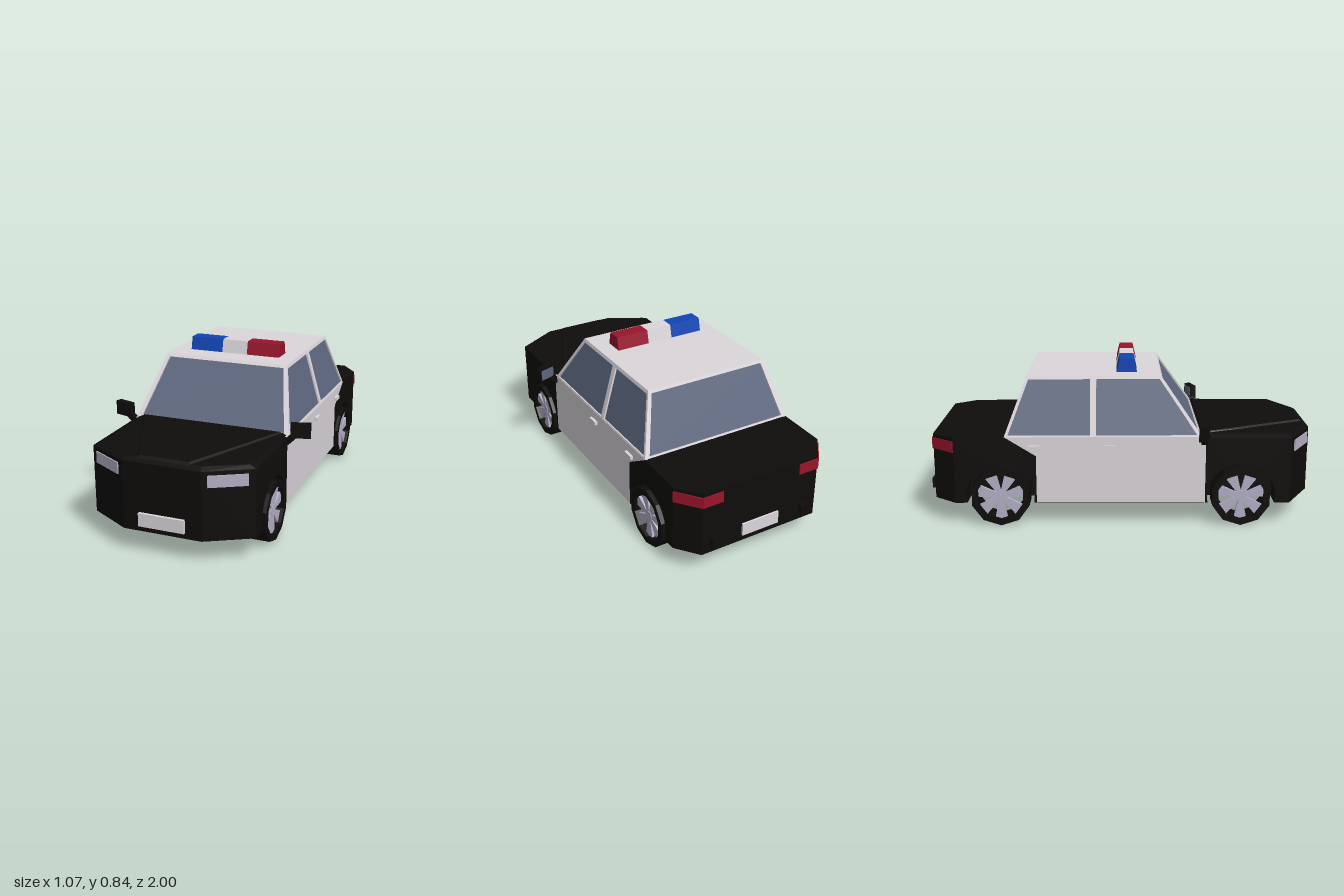
import * as THREE from 'three';
import { ConvexGeometry } from 'three/addons/geometries/ConvexGeometry.js';

const mat = (color) => new THREE.MeshStandardMaterial({ color, flatShading: true });
const V = (x, y, z) => new THREE.Vector3(x, y, z);

export function createModel() {
  const car = new THREE.Group();
  car.name = 'patrolCar';
  const black = mat(0x0f0d0b), white = mat(0xdbd6db), glass = mat(0x5c667d), red = mat(0x99142b),
    blue = mat(0x0f45b5), lamp = mat(0xb3afc4), rim = mat(0xb5b0c8);

  const add = (name, geometry, material, parent = car) => {
    const mesh = new THREE.Mesh(geometry, material);
    mesh.name = name;
    parent.add(mesh);
    return mesh;
  };
  const box = (name, size, pos, material, parent = car, turn = 0) => {
    const mesh = add(name, new THREE.BoxGeometry(...size), material, parent);
    mesh.position.set(...pos);
    mesh.rotation.y = turn;
    return mesh;
  };
  const shapeOf = (pts) => new THREE.Shape(pts.map((p) => new THREE.Vector2(...p)));
  // Extrude a (z, y) side profile across x, centred
  const across = (shape, width) => new THREE.ExtrudeGeometry(shape, { depth: width, bevelEnabled: false, curveSegments: 8 })
    .rotateY(-Math.PI / 2).translate(width / 2, 0, 0);
  // Convex solid from half-outlines [x, z] at given heights, mirrored in x
  const solid = (...layers) => new ConvexGeometry(layers.flatMap(([y, pts]) =>
    pts.flatMap(([x, z]) => [V(x, y, z), V(-x, y, z)])));

  // Lower body: fenders with wheel arches, doors, and tapered ends
  const W = 0.84, axleY = 0.155, wheelZ = [0.61, -0.625];
  const arch = (shape, z) => {
    const r = 0.175, a = Math.asin((0.12 - axleY) / r);
    shape.lineTo(z - r * Math.cos(a), 0.12);
    shape.absarc(z, axleY, r, Math.PI - a, a, true);
  };
  const fender = (name, pts, z) => {
    const s = new THREE.Shape();
    s.moveTo(...pts[0]);
    arch(s, z);
    pts.slice(1).forEach((p) => s.lineTo(...p));
    add(name, across(s, W), black);
  };
  fender('frontFender', [[0.425, 0.12], [0.86, 0.12], [0.86, 0.465], [0.425, 0.465]], wheelZ[0]);
  fender('rearFender', [[-0.86, 0.12], [-0.44, 0.12], [-0.44, 0.37], [-0.6, 0.468], [-0.86, 0.465]], wheelZ[1]);
  add('doorSection', across(shapeOf([[-0.44, 0.12], [0.425, 0.12], [0.425, 0.47], [-0.6, 0.47], [-0.44, 0.37]]), W), white);
  const nose = [[0.42, 0.86], [0.2, 0.985]], tail = [[0.42, -0.86], [0.33, -0.975]];
  add('frontEnd', solid([0.12, nose], [0.465, nose]), black);
  add('rearEnd', solid([0.12, tail], [0.465, tail]), black);
  box('innerCore', [0.6, 0.32, 1.72], [0, 0.278, 0], black);
  box('floor', [0.83, 0.012, 0.86], [0, 0.122, -0.008], black);

  // Hood with bevelled rim and raised tapering centre
  add('hood', solid([0.465, [[0.42, 0.405], ...nose]], [0.479, [[0.385, 0.4], [0.385, 0.85], [0.19, 0.955]]]), black);
  add('hoodCentre', solid([0.47, [[0.39, 0.4], [0.14, 0.97]]], [0.487, [[0.375, 0.41], [0.125, 0.945]]]), black);
  box('grille', [0.37, 0.1, 0.008], [0, 0.385, 0.985], black);

  // Cabin wall: a trapezoid with window holes in (u, v), thickened inward, and glass set back
  const wall = (name, [bl, br, tr, tl], panes) => {
    const normal = br.clone().sub(bl).cross(tl.clone().sub(bl)).normalize();
    const place = (g, offset) => {
      const p = g.attributes.position;
      for (let i = 0; i < p.count; i++) {
        const u = p.getX(i), v = p.getY(i);
        const q = bl.clone().lerp(br, u).lerp(tl.clone().lerp(tr, u), v).addScaledVector(normal, p.getZ(i) + offset);
        p.setXYZ(i, q.x, q.y, q.z);
      }
      g.computeVertexNormals();
      return g;
    };
    const frame = shapeOf([[0, 0], [1, 0], [1, 1], [0, 1]]);
    panes.forEach((pane) => frame.holes.push(shapeOf(pane)));
    add(name + 'Frame', place(new THREE.ExtrudeGeometry(frame, { depth: 0.015, bevelEnabled: false }), -0.015), white);
    panes.forEach((pane) => add(name + 'Glass', place(new THREE.ShapeGeometry(shapeOf(pane)), -0.009), glass));
  };
  const c = (sx, z, top) => V(sx * (top ? 0.335 : 0.42), top ? 0.77 : 0.47, z);
  const F = 0.405, B = -0.6, FT = 0.195, BT = -0.485;
  const screen = [[[0.03, 0.03], [0.97, 0.03], [0.97, 0.95], [0.03, 0.95]]];
  const sidePanes = [
    [[0.02, 0.03], [0.535, 0.03], [0.485, 0.94], [0.02, 0.94]],
    [[0.565, 0.03], [0.985, 0.03], [0.98, 0.94], [0.529, 0.94]],
  ];
  wall('windshield', [c(-1, F), c(1, F), c(1, FT, 1), c(-1, FT, 1)], screen);
  wall('rearWindow', [c(1, B), c(-1, B), c(-1, BT, 1), c(1, BT, 1)], screen);
  wall('leftWindows', [c(1, F), c(1, B), c(1, BT, 1), c(1, FT, 1)], sidePanes);
  wall('rightWindows', [c(-1, B), c(-1, F), c(-1, FT, 1), c(-1, BT, 1)],
    sidePanes.map((pane) => pane.map(([u, v]) => [1 - u, v])));
  add('roof', solid([0.758, [[0.325, 0.19], [0.325, -0.48]]], [0.77, [[0.335, FT], [0.335, BT]]]), white);

  // Roof light bar in three segments
  const bar = [[-0.03, 0.765], [0.077, 0.765], [0.06, 0.838], [-0.013, 0.838]];
  [['blueLight', -0.16, 0.18, blue], ['middleLight', 0, 0.14, white], ['redLight', 0.16, 0.18, red]]
    .forEach(([name, x, w, m]) => add(name, across(shapeOf(bar), w).translate(x, 0, 0), m));

  // Number plates
  box('frontPlate', [0.234, 0.067, 0.018], [0, 0.183, 0.991], white);
  box('rearPlate', [0.21, 0.067, 0.014], [0, 0.186, -0.978], white);

  // Wheel: ten-sided open tyre, seven flared spokes, hub
  const tyreProfile = [[0.122, -0.06], [0.155, -0.06], [0.155, 0.06], [0.122, 0.06], [0.122, -0.06]]
    .map((p) => new THREE.Vector2(...p));
  const tyre = new THREE.LatheGeometry(tyreProfile, 10).rotateY(Math.PI / 2).rotateZ(Math.PI / 2);
  const spoke = across(shapeOf([[-0.01, 0.015], [0.01, 0.015], [0.032, 0.12], [-0.032, 0.12]]), 0.015);
  const hub = new THREE.CylinderGeometry(0.028, 0.028, 0.02, 10).rotateZ(Math.PI / 2);
  const axle = new THREE.CylinderGeometry(0.018, 0.018, 0.12, 8).rotateZ(Math.PI / 2);

  // Everything paired left and right
  for (const s of [1, -1]) {
    const side = new THREE.Group();
    side.name = s > 0 ? 'leftSide' : 'rightSide';
    side.scale.x = s;
    car.add(side);

    wheelZ.forEach((z, i) => {
      const wheel = new THREE.Group();
      wheel.name = i ? 'rearWheel' : 'frontWheel';
      wheel.position.set(0.371, axleY, z);
      side.add(wheel);
      add('tyre', tyre, black, wheel);
      add('hub', hub, rim, wheel).position.x = 0.035;
      add('axle', axle, black, wheel).position.x = -0.03;
      for (let k = 0; k < 7; k++) {
        const m = add('spoke', spoke, rim, wheel);
        m.position.x = 0.035;
        m.rotation.x = Math.PI + (k * 2 * Math.PI) / 7;
      }
    });

    box('headlight', [0.19, 0.058, 0.012], [0.3075, 0.416, 0.924], lamp, side, 0.517);
    box('tailLightCorner', [0.146, 0.057, 0.012], [0.375, 0.418, -0.9175], red, side, -0.907);
    box('tailLightRear', [0.112, 0.057, 0.012], [0.276, 0.418, -0.975], red, side);
    box('exhaust', [0.05, 0.052, 0.04], [0.26, 0.183, -0.98], black, side);
    for (const z of [-0.063, -0.448]) box('doorHandle', [0.03, 0.02, 0.062], [0.42, 0.417, z], white, side);

    // Wing mirror: arm, housing and rear-facing glass
    add('mirrorArm', new ConvexGeometry([0.4, 0.43].flatMap((z) => [
      V(0.41, 0.465, z), V(0.41, 0.435, z), V(0.425, 0.43, z), V(0.47, 0.475, z), V(0.44, 0.485, z)])), black, side);
    const mirror = new THREE.Group();
    mirror.name = 'wingMirror';
    mirror.position.set(0.484, 0.508, 0.41);
    mirror.rotation.y = 0.3;
    side.add(mirror);
    box('mirrorHousing', [0.1, 0.073, 0.034], [0, 0, 0], black, mirror);
    box('mirrorGlass', [0.084, 0.058, 0.004], [0, 0, -0.017], glass, mirror);
  }
  return car;
}
